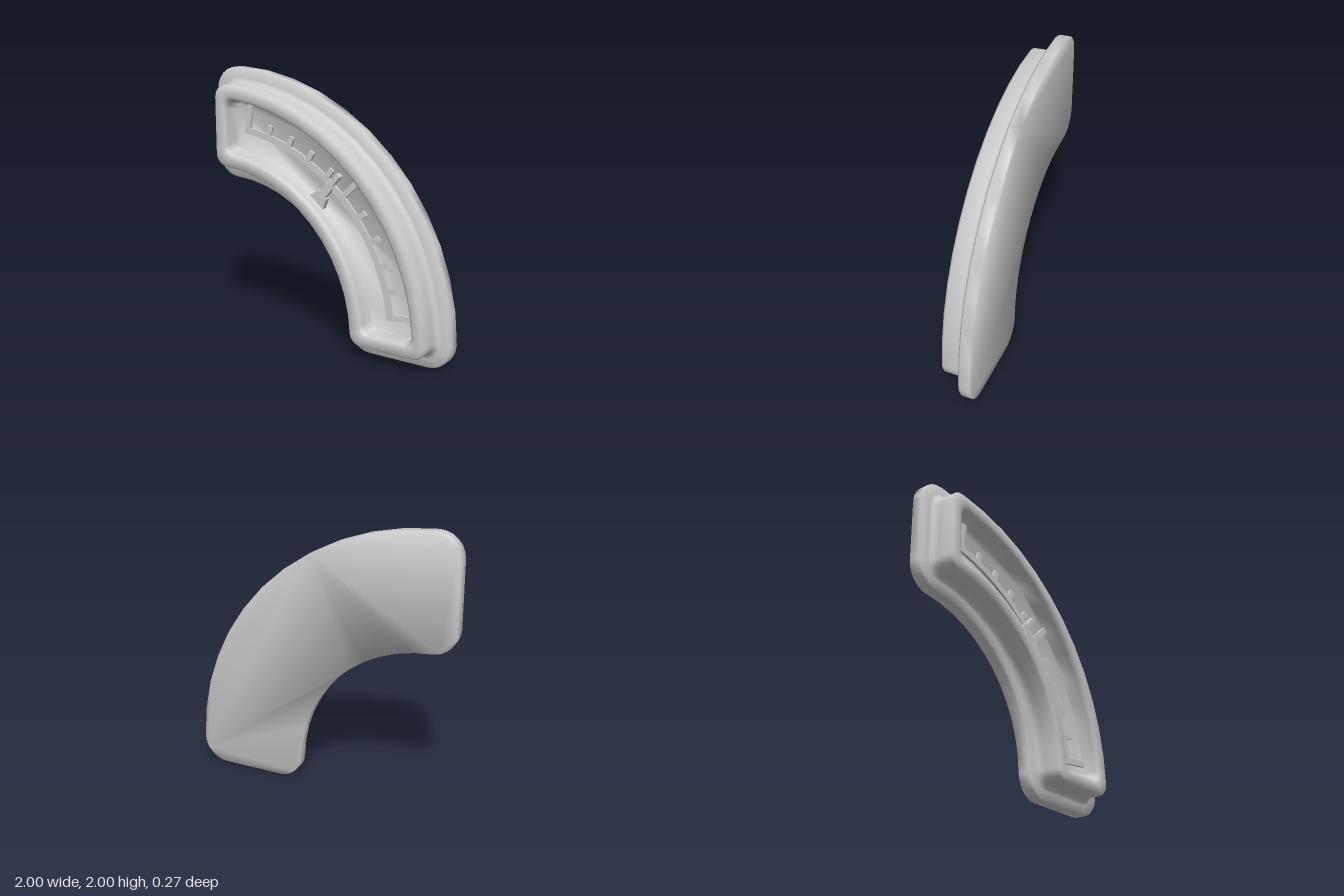
import * as THREE from 'three';
import { toCreasedNormals } from 'three/addons/utils/BufferGeometryUtils.js';

// Centre of the quarter ring, its two radii, and how far the ends pass the centre
const CX = -0.85, CY = 0.15, OUTER = 1.848, INNER = 1.018, END = 0.15;
const FLOOR = 0;

// Rounded quarter-ring outline, inset by d with corner radius r (counter-clockwise)
function outline(d, r) {
  const half = [];
  const arc = (cx, cy, radius, a0, a1, n, first = 0) => {
    for (let i = first; i <= n; i++) {
      const a = a0 + (a1 - a0) * i / n;
      half.push([cx + radius * Math.cos(a), cy + radius * Math.sin(a)]);
    }
  };
  const fx = -END + d + r;
  const yOut = Math.sqrt((OUTER - d - r) ** 2 - fx * fx);
  const yIn = Math.sqrt((INNER + d + r) ** 2 - fx * fx);
  const tOut = Math.atan2(yOut, fx), tIn = Math.atan2(yIn, fx);
  arc(0, 0, OUTER - d, Math.PI / 4, tOut, 6);
  arc(fx, yOut, r, tOut, Math.PI, 6, 1);
  arc(fx, yIn, r, Math.PI, Math.PI + tIn, 6);
  arc(0, 0, INNER + d, tIn, Math.PI / 4, 6, 1);
  // the other half is the mirror across the diagonal
  const mirrored = half.slice(1, -1).reverse().map(([x, y]) => [y, x]);
  return half.concat(mirrored).map(([x, y]) => new THREE.Vector2(x + CX, y + CY));
}

// Skin outline loops along a wall profile of [inset, z], capped at both ends
function housingGeometry(profile) {
  const loops = profile.map(([d]) => outline(d, Math.max(0.18 - 0.75 * d, 0.07)));
  const n = loops[0].length, last = loops.length - 1;
  const pos = [], index = [];
  loops.forEach((loop, j) => loop.forEach(p => pos.push(p.x, p.y, profile[j][1])));
  for (let j = 0; j < last; j++) {
    for (let i = 0; i < n; i++) {
      const k = (i + 1) % n;
      const a = j * n + i, b = j * n + k, c = b + n, d = a + n;
      index.push(a, b, c, a, c, d);
    }
  }
  for (const [a, b, c] of THREE.ShapeUtils.triangulateShape(loops[0], [])) index.push(a, c, b);
  for (const t of THREE.ShapeUtils.triangulateShape(loops[last], [])) index.push(...t.map(v => v + last * n));
  const geo = new THREE.BufferGeometry();
  geo.setAttribute('position', new THREE.Float32BufferAttribute(pos, 3));
  geo.setIndex(index);
  return toCreasedNormals(geo, 1.7);
}

export function createModel() {
  const model = new THREE.Group();
  const material = new THREE.MeshStandardMaterial({ color: 0xcccccc });
  const add = (parent, geometry, name) => {
    const mesh = new THREE.Mesh(geometry, material);
    mesh.name = name;
    parent.add(mesh);
    return mesh;
  };

  // Housing: back flange, fillet, raised rim and sunken floor
  add(model, housingGeometry([
    [0, -0.135], [0, -0.058], [0.012, -0.043], [0.07, -0.043], [0.092, -0.034],
    [0.107, -0.014], [0.112, 0.015], [0.115, 0.118], [0.13, 0.135],
    [0.19, 0.135], [0.21, 0.125], [0.218, 0.1], [0.225, FLOOR],
  ]), 'housing');

  // Parts on the dial share the ring's centre
  const dial = new THREE.Group();
  dial.name = 'dial';
  dial.position.set(CX, CY, FLOOR);
  model.add(dial);

  // Scale: curved base line
  const rad = THREE.MathUtils.degToRad;
  const scaleHeight = 0.02;
  const band = new THREE.Shape();
  band.absarc(0, 0, 1.432, rad(6.7), rad(83.3), false);
  band.absarc(0, 0, 1.385, rad(83.3), rad(6.7), true);
  add(dial, new THREE.ExtrudeGeometry(band, { depth: scaleHeight, bevelEnabled: false, curveSegments: 20 }), 'scaleBand');

  // Scale: tick marks, long at the ends and in the middle
  for (let k = -5; k <= 5; k++) {
    const long = k % 5 === 0;
    const r0 = 1.4, r1 = long ? 1.617 : 1.5, a = rad(45 + 7.5 * k);
    const tick = add(dial, new THREE.BoxGeometry(r1 - r0, 0.042, scaleHeight), long ? 'longTick' : 'shortTick');
    tick.position.set(Math.cos(a) * (r0 + r1) / 2, Math.sin(a) * (r0 + r1) / 2, scaleHeight / 2);
    tick.rotation.z = a;
  }

  // Pointer: wide foot, neck and slim tip
  const side = [[1.225, 0.075], [1.315, 0.045], [1.315, 0.03], [1.41, 0.03], [1.41, 0.018], [1.52, 0.018]];
  const pointerPoints = [...side.map(([x, y]) => [x, -y]), ...side.slice().reverse()];
  const pointerShape = new THREE.Shape(pointerPoints.map(p => new THREE.Vector2(...p)));
  const pointer = add(dial, new THREE.ExtrudeGeometry(pointerShape, { depth: 0.04, bevelEnabled: false }), 'pointer');
  pointer.rotation.z = rad(49.8);

  return model;
}
